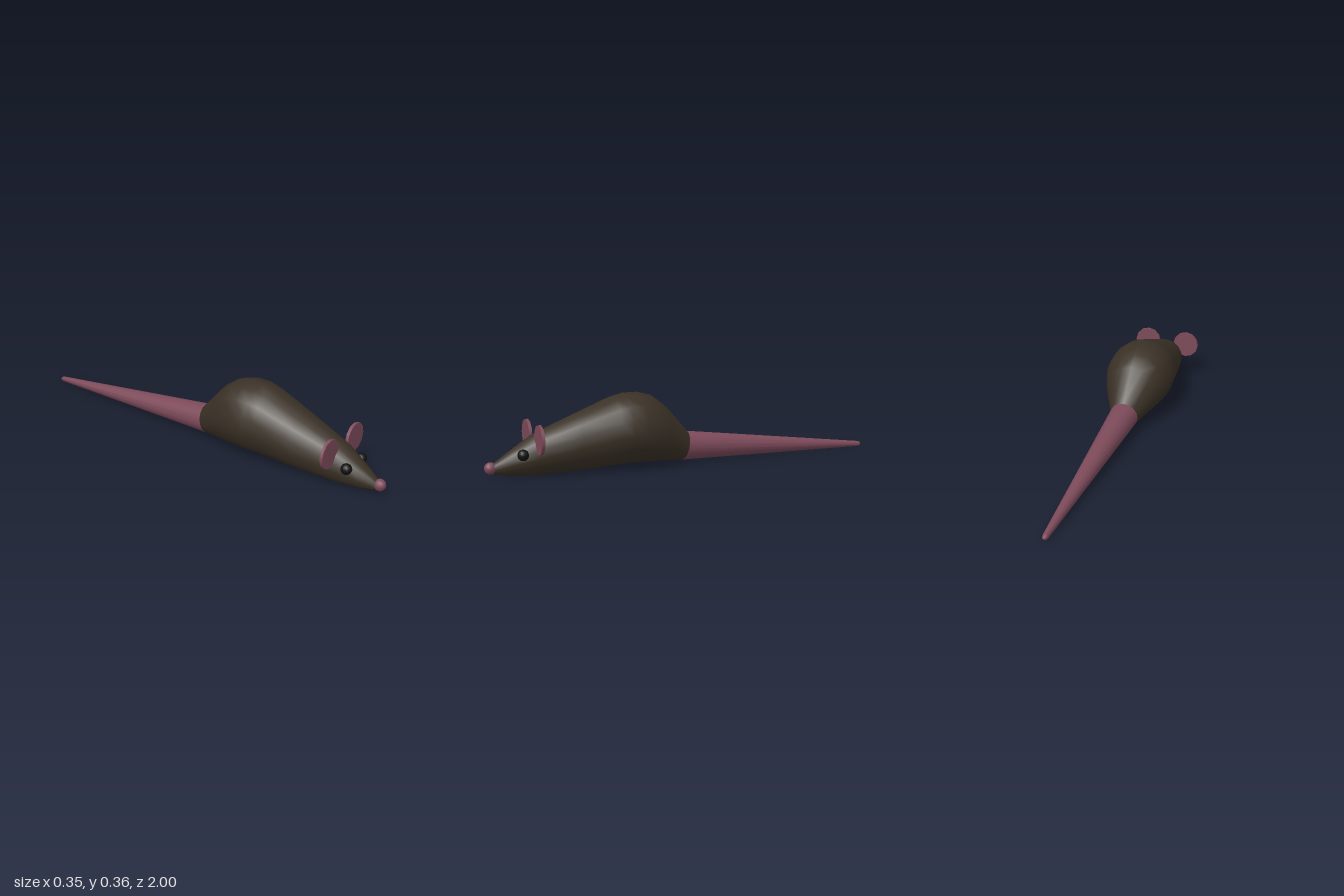
import * as THREE from 'three';

const fur = new THREE.MeshStandardMaterial({ color: 0x3a3126 });
const pink = new THREE.MeshStandardMaterial({ color: 0x7d4a5a });
const black = new THREE.MeshStandardMaterial({ color: 0x111111 });

// Skins elliptical rings, each given as [topZ, topY, bottomZ, bottomY, halfWidth], from front to back
function loft(stations, sides) {
  const position = [], index = [];
  stations.forEach(([tz, ty, bz, by, w], j) => {
    for (let i = 0; i < sides; i++) {
      const a = (i / sides) * Math.PI * 2, c = Math.cos(a);
      position.push(w * Math.sin(a), (ty + by) / 2 + c * (ty - by) / 2, (tz + bz) / 2 + c * (tz - bz) / 2);
      if (j === stations.length - 1) continue;
      const k = (i + 1) % sides, p = j * sides, q = p + sides;
      index.push(p + i, p + k, q + k, p + i, q + k, q + i);
    }
  });
  const geometry = new THREE.BufferGeometry();
  geometry.setAttribute('position', new THREE.Float32BufferAttribute(position, 3));
  geometry.setIndex(index);
  geometry.computeVertexNormals();
  return geometry;
}

export function createModel() {
  const model = new THREE.Group();
  model.name = 'mouse';
  const add = (name, geometry, material, x, y, z) => {
    const mesh = new THREE.Mesh(geometry, material);
    mesh.name = name;
    mesh.position.set(x, y, z);
    model.add(mesh);
    return mesh;
  };

  // Body: pointed snout, high rounded back, narrow rump
  add('body', loft([
    [0.965, 0.045, 0.965, 0.045, 0],
    [0.96, 0.07, 0.95, 0.02, 0.025],
    [0.87, 0.13, 0.9, 0.009, 0.055],
    [0.77, 0.195, 0.77, 0.003, 0.088],
    [0.58, 0.272, 0.58, 0.01, 0.125],
    [0.39, 0.348, 0.39, 0.022, 0.157],
    [0.34, 0.36, 0.34, 0.024, 0.166],
    [0.27, 0.361, 0.28, 0.025, 0.168],
    [0.2, 0.344, 0.22, 0.025, 0.158],
    [0.135, 0.297, 0.15, 0.023, 0.132],
    [0.01, 0.157, 0.04, 0.018, 0.07],
  ], 15), fur, 0, 0, 0);

  // Tail: long taper with a small rounded tip
  add('tail', loft([
    [0.01, 0.157, 0.04, 0.018, 0.07],
    [-0.98, 0.037, -0.98, 0.01, 0.014],
    [-0.995, 0.033, -0.995, 0.013, 0.01],
    [-1, 0.023, -1, 0.023, 0],
  ], 15), pink, 0, 0, 0);

  add('nose', new THREE.SphereGeometry(0.028, 10, 8), pink, 0, 0.05, 0.972);

  // Ears and eyes, mirrored
  for (const [side, s] of [['left', 1], ['right', -1]]) {
    const ear = add(side + 'Ear', new THREE.CylinderGeometry(0.068, 0.068, 0.014, 12), pink, s * 0.107, 0.18, 0.772);
    ear.rotation.x = Math.PI / 2;
    add(side + 'Eye', new THREE.SphereGeometry(0.026, 12, 10), black, s * 0.064, 0.11, 0.837);
  }
  return model;
}
